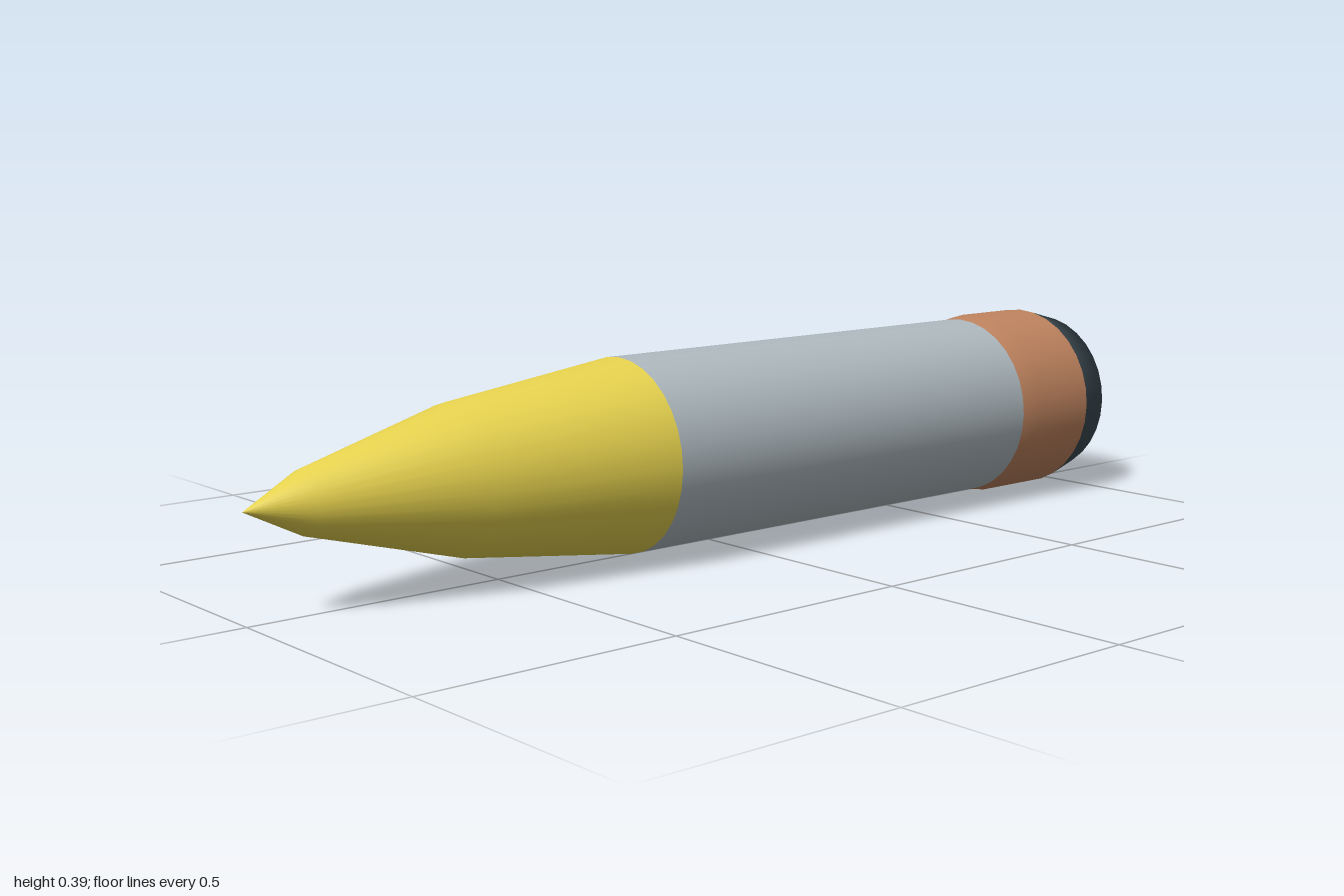
import * as THREE from 'three';

const SIDES = 32;
const AXIS_Y = 0.193;

// Turned part: profile of [radius, z] points running from back to front
function turned(name, color, profile) {
  const points = profile.map(([r, z]) => new THREE.Vector2(r, z));
  const geometry = new THREE.LatheGeometry(points, SIDES);
  geometry.rotateX(Math.PI / 2);
  const material = new THREE.MeshStandardMaterial({ color, side: THREE.DoubleSide });
  const mesh = new THREE.Mesh(geometry, material);
  mesh.name = name;
  mesh.position.y = AXIS_Y;
  return mesh;
}

export function createModel() {
  const shell = new THREE.Group();
  shell.name = 'shell';
  shell.add(
    // Dark base with a bevelled rim and a flat back
    turned('base', 0x3c4a52, [[0, -1], [0.172, -1], [0.193, -0.92]]),
    // Copper driving band, slightly proud of the body
    turned('drivingBand', 0xc0845f, [[0.193, -0.92], [0.193, -0.77], [0.186, -0.72]]),
    // Straight grey body
    turned('body', 0xb0bbc1, [[0.186, -0.72], [0.186, 0.22]]),
    // Yellow pointed nose
    turned('nose', 0xe6d24e, [[0.186, 0.22], [0.138, 0.59], [0.056, 0.89], [0, 1]])
  );
  return shell;
}
